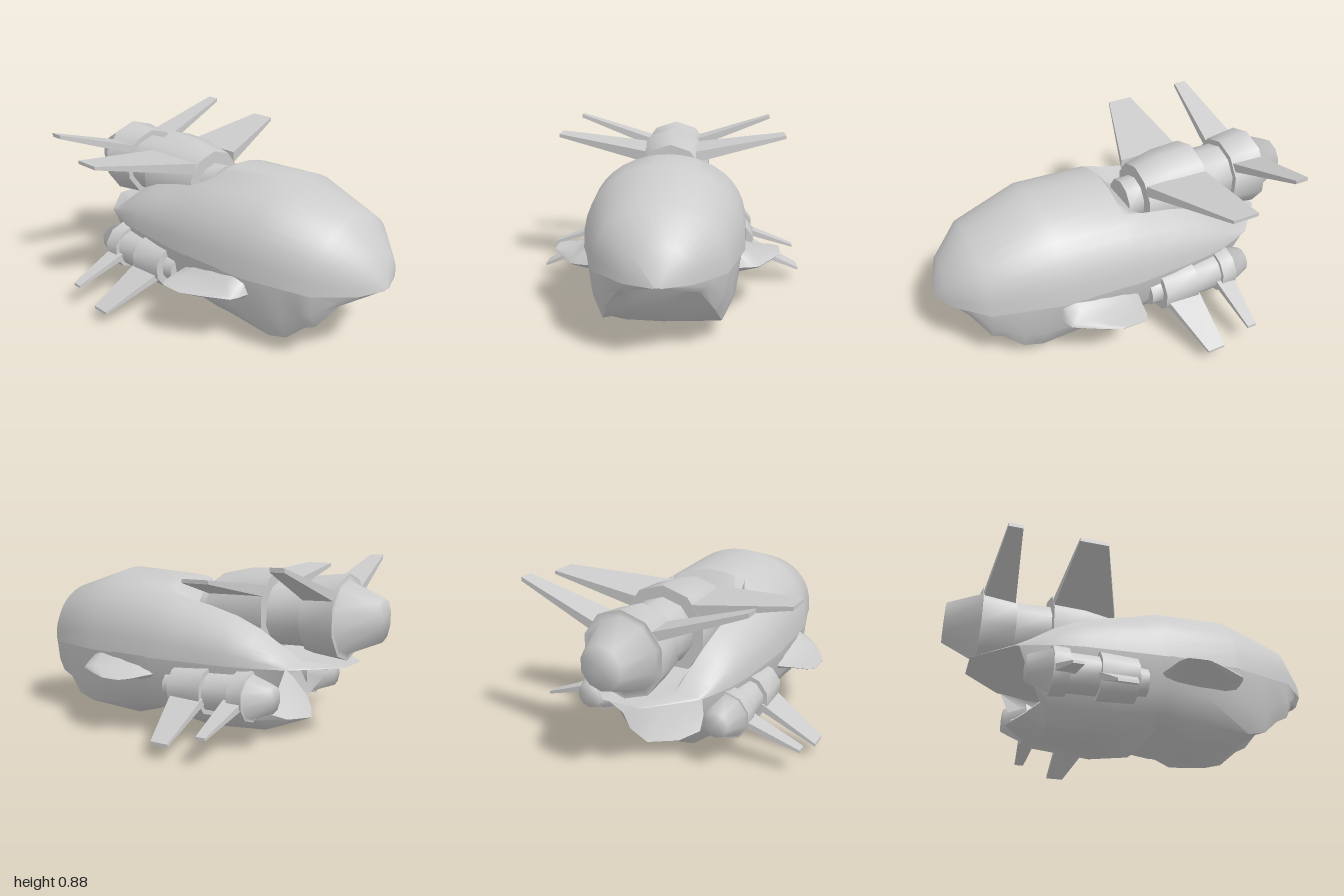
import * as THREE from 'three';
import { toCreasedNormals } from 'three/addons/utils/BufferGeometryUtils.js';

const material = new THREE.MeshStandardMaterial({ color: 0xcccccc, side: THREE.DoubleSide });
const lerp = THREE.MathUtils.lerp;

// Skin over rows of [x, y, z] points; closed rows wrap round.
function loft(rows, closed, crease) {
  const n = rows[0].length, index = [];
  for (let i = 0; i < rows.length - 1; i++) {
    for (let j = 0; j < (closed ? n : n - 1); j++) {
      const a = i * n + j, b = i * n + (j + 1) % n;
      index.push(a, a + n, b, b, a + n, b + n);
    }
  }
  const g = new THREE.BufferGeometry();
  g.setAttribute('position', new THREE.Float32BufferAttribute(rows.flat(2), 3));
  g.setIndex(index);
  return toCreasedNormals(g, crease);
}

function part(name, geometry, parent) {
  const m = new THREE.Mesh(geometry, material);
  m.name = name;
  parent.add(m);
  return m;
}

// Half section (centre to right edge) mirrored into a full row.
const mirrorRow = half => [...half.slice(1).reverse().map(([x, y, z]) => [-x, y, z]), ...half];

// Domed upper shell, with a channel behind z = 0 where the main engine sits.
function upperHull() {
  // z, half width, dome height, channel floor
  const sections = [
    [0.995, 0.015, 0.005, 1], [0.94, 0.15, 0.165, 1], [0.79, 0.3, 0.305, 1],
    [0.45, 0.39, 0.415, 1], [0.06, 0.41, 0.39, 1], [-0.06, 0.405, 0.35, 0.62],
    [-0.2, 0.395, 0.315, 0.52], [-0.35, 0.385, 0.265, 0.47], [-0.47, 0.365, 0.2, 0.44],
    [-0.58, 0.33, 0.11, 0.42], [-0.67, 0.295, 0.025, 0.41], [-0.86, 0.1, 0.002, 0.4],
  ];
  const steps = 10;
  return loft(sections.map(([z, w, h, floor]) => {
    const half = [];
    for (let i = 0; i <= steps; i++) {
      const a = (i / steps) * Math.PI / 2;
      const y = 0.395 + h * Math.pow(Math.max(0, Math.cos(a)), 0.82);
      half.push([w * Math.sin(a), i <= 3 ? Math.min(y, floor) : y, z]);
    }
    return mirrorRow(half);
  }), false, 0.8);
}

// Lower hull: front mouth between two cheeks, belly, rear scoop.
function lowerHull() {
  // z, keel height, cheek x, cheek y, brim half width
  const sections = [
    [0.99, 0.395, 0.01, 0.395, 0.02], [0.87, 0.38, 0.18, 0.335, 0.22], [0.79, 0.365, 0.25, 0.22, 0.295],
    [0.73, 0.22, 0.25, 0.19, 0.315], [0.64, 0.14, 0.28, 0.11, 0.338], [0.54, 0.055, 0.29, 0.085, 0.365],
    [0.29, 0.01, 0.3, 0.11, 0.4], [0.2, 0.06, 0.3, 0.11, 0.405], [0.08, 0.09, 0.31, 0.13, 0.41],
    [0.05, 0.05, 0.31, 0.13, 0.405], [-0.17, 0.01, 0.3, 0.11, 0.395], [-0.48, 0.03, 0.26, 0.12, 0.36],
    [-0.65, 0.1, 0.22, 0.15, 0.3],
  ];
  const halves = sections.map(([z, keel, cx, cy, w]) => [
    [0, keel, z],
    [cx * 0.63, lerp(keel, cy, 0.22), z],
    [cx, cy, z],
    [lerp(cx, w, 0.7), lerp(cy, 0.4, 0.38), z],
    [w, 0.4, z],
  ]);
  // Rear rim cut forward at the flanks, then a hollow running up to the tail deck
  const rim = halves.at(-1).map(([x, y, z], k) => [x, y, z + 0.13 * Math.sin(Math.PI * k / 4) ** 2]);
  halves.pop();
  for (let i = 0; i <= 6; i++) {
    const t = i / 6;
    halves.push(rim.map(([x, y, z], k) => {
      const f = k / 4, tailZ = -0.86 + 0.2 * Math.max(0, (f - 0.33) / 0.67);
      const hollow = 0.36 * Math.sin(Math.PI * t) * (1 - f * f);
      return [lerp(x, 0.3 * f, t), lerp(y, 0.395, Math.sqrt(t)), lerp(z, tailZ, t) + hollow];
    }));
  }
  return loft(halves.map(mirrorRow), false, 0.8);
}

// Tapered blade. Each end: x, y, front z, back z, thickness.
function blade(root, tip, side) {
  const ring = ([x, y, f, b, t]) => [
    [x * side, y + t / 2, f], [x * side, y + t / 2, b],
    [x * side, y - t / 2, b], [x * side, y - t / 2, f],
  ];
  const cap = ([x, y, f, b]) => Array(4).fill([x * side, y, (f + b) / 2]);
  return loft([cap(root), ring(root), ring(tip), cap(tip)], true, 0.5);
}

// Ten-sided turned body along z from [z, radius] pairs (back to front).
function turned(profile) {
  const g = new THREE.LatheGeometry(profile.map(([z, r]) => new THREE.Vector2(r, z)), 10);
  g.rotateX(Math.PI / 2);
  return toCreasedNormals(g, 1.3);
}

// Flared side flap, its fairing tallest at the front.
function flap(side) {
  // x, front z, back z, upper and lower thickness
  const sections = [
    [0.36, 0.47, 0.04, 0.08, 0.05], [0.42, 0.46, 0.05, 0.045, 0.03], [0.46, 0.445, 0.06, 0.02, 0.02],
    [0.54, 0.31, 0.075, 0.01, 0.013], [0.58, 0.23, 0.1, 0.004, 0.004],
  ];
  return loft(sections.map(([x, f, b, up, down]) => {
    const row = [];
    for (let i = 0; i < 12; i++) {
      const a = i * Math.PI / 6, s = Math.sin(a), c = Math.cos(a);
      const along = Math.sign(c) * Math.pow(Math.abs(c), 0.7);
      row.push([
        x * side,
        0.31 + s * (s > 0 ? up * (1 + 0.6 * c) : down),
        (f + b) / 2 + along * (f - b) / 2,
      ]);
    }
    return row;
  }), true, 0.8);
}

export function createModel() {
  const ship = new THREE.Group();
  ship.name = 'spacecraft';
  part('upperHull', upperHull(), ship);
  part('lowerHull', lowerHull(), ship);

  // Main engine on top
  const main = new THREE.Group();
  main.name = 'mainEngine';
  ship.add(main);
  part('mainEngineBody', turned([
    [-1, 0], [-1, 0.105], [-0.83, 0.178], [-0.83, 0.21], [-0.655, 0.19], [-0.655, 0.16],
    [-0.47, 0.165], [-0.47, 0.222], [-0.3, 0.215], [-0.135, 0.18], [-0.135, 0.115], [-0.05, 0.115], [-0.05, 0],
  ]), main).position.y = 0.62;

  for (const side of [1, -1]) {
    const label = side > 0 ? 'left' : 'right';
    part(label + 'FrontUpperFin',
      blade([0.14, 0.735, -0.13, -0.47, 0.06], [0.645, 0.818, -0.31, -0.45, 0.018], side), main);
    part(label + 'RearUpperFin',
      blade([0.13, 0.72, -0.66, -0.83, 0.05], [0.578, 0.878, -0.71, -0.78, 0.02], side), main);

    // Side engine with two drooping fins
    const pod = new THREE.Group();
    pod.name = label + 'SideEngine';
    ship.add(pod);
    part(label + 'SideEngineBody', turned([
      [-0.62, 0], [-0.62, 0.065], [-0.51, 0.108], [-0.51, 0.123], [-0.43, 0.12], [-0.43, 0.1],
      [-0.28, 0.1], [-0.28, 0.123], [-0.09, 0.115], [-0.09, 0.075], [-0.03, 0.07], [-0.03, 0],
    ]), pod).position.set(side * 0.35, 0.26, 0);
    part(label + 'FrontLowerFin',
      blade([0.4, 0.245, -0.09, -0.29, 0.045], [0.725, 0.082, -0.19, -0.285, 0.014], side), pod);
    part(label + 'RearLowerFin',
      blade([0.4, 0.25, -0.4, -0.51, 0.04], [0.715, 0.142, -0.43, -0.48, 0.014], side), pod);

    part(label + 'SideFlap', flap(side), ship);
  }
  return ship;
}
